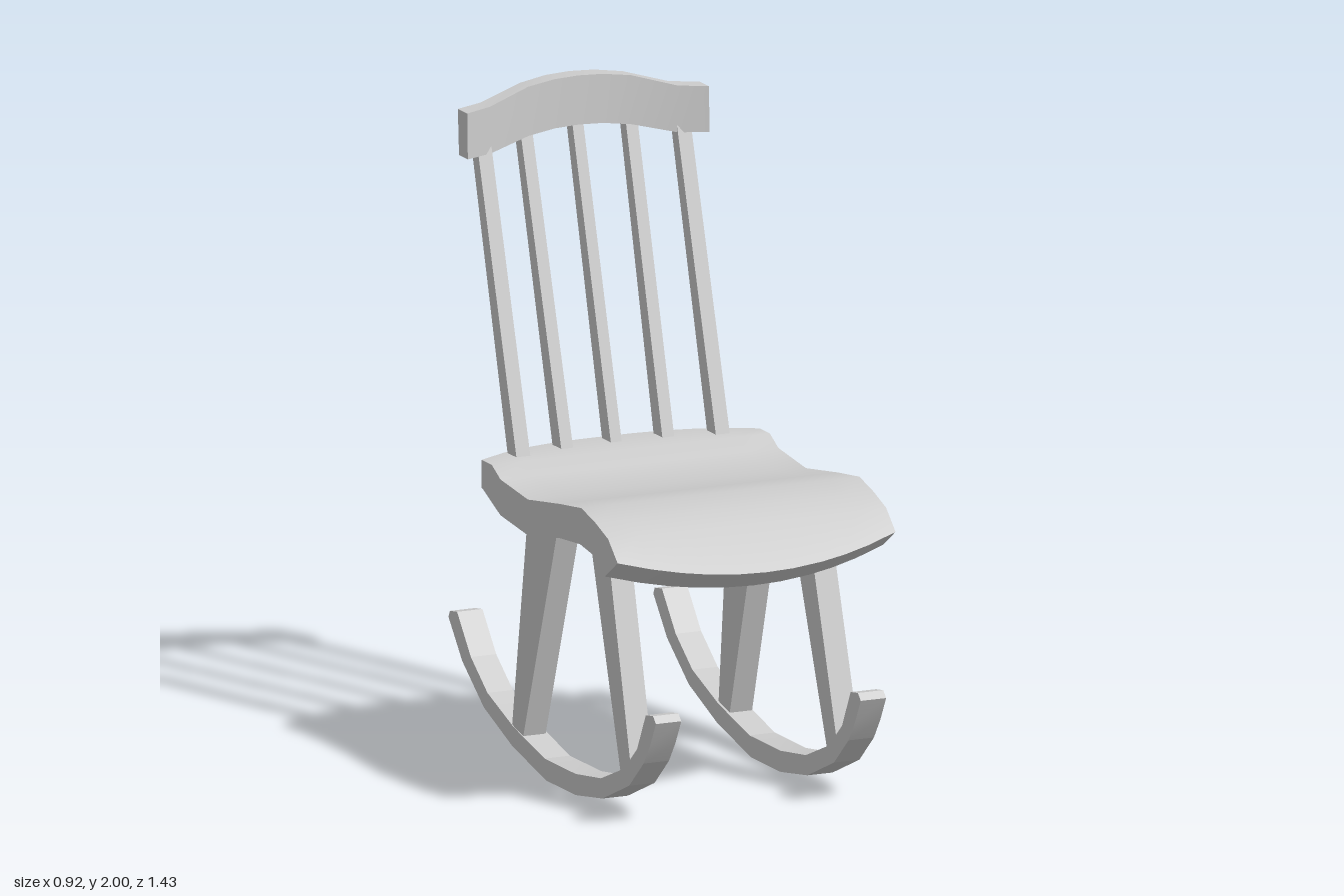
import * as THREE from 'three';
import { toCreasedNormals } from 'three/addons/utils/BufferGeometryUtils.js';

const material = new THREE.MeshStandardMaterial({ color: 0xcccccc });

// Skins rings of [x, y, z] points stacked along +x. Each ring runs along its
// top from front to back, then along its bottom from back to front.
function loft(name, rings, crease = 0.6) {
  const n = rings[0].length, last = (rings.length - 1) * n, index = [];
  for (let i = 0; i < rings.length - 1; i++) {
    for (let j = 0; j < n; j++) {
      const a = i * n + j, a1 = i * n + (j + 1) % n;
      index.push(a, a + n, a1 + n, a, a1 + n, a1);
    }
  }
  for (let k = 0; k < n / 2 - 1; k++) {
    const t0 = k, t1 = k + 1, b0 = n - 1 - k, b1 = n - 2 - k;
    index.push(last + t0, last + b0, last + b1, last + t0, last + b1, last + t1);
    index.push(t0, b1, b0, t0, t1, b1);
  }
  const geometry = new THREE.BufferGeometry();
  geometry.setAttribute('position', new THREE.Float32BufferAttribute(rings.flat(2), 3));
  geometry.setIndex(index);
  const mesh = new THREE.Mesh(toCreasedNormals(geometry, crease), material);
  mesh.name = name;
  return mesh;
}

// Four-sided tapered bar; each end is { x, w, front: [z, y], back: [z, y] }
function bar(name, top, bottom) {
  const ring = (s) => [
    [top, top.front], [top, top.back], [bottom, bottom.back], [bottom, bottom.front],
  ].map(([end, [z, y]]) => [end.x + s * end.w / 2, y, z]);
  return loft(name, [ring(-1), ring(1)], 0.2);
}

// Wavy seat with bowed front and back edges
function createSeat() {
  const top = [[0.69, 0.76], [0.555, 0.88], [0.47, 0.91], [0.37, 0.935], [0.22, 0.915],
    [0, 0.88], [-0.19, 0.9], [-0.25, 0.932], [-0.43, 0.932]];
  const bottom = [[0.6, 0.7], [0.48, 0.8], [0.43, 0.812], [0.36, 0.822], [0.22, 0.81],
    [0, 0.77], [-0.19, 0.79], [-0.315, 0.845], [-0.43, 0.845]];
  const xs = [-0.46, -0.36, -0.27, -0.19, -0.09, 0, 0.09, 0.19, 0.27, 0.36, 0.46];
  const rings = xs.map((x) => {
    const t = Math.abs(x) / 0.46, frontCut = 0.07 * t ** 2, backCut = 0.11 * t ** 2.7;
    const trim = (profile) => profile.map(([z, y], i) => {
      if (i === 0) return [x, y + frontCut * 0.86, z - frontCut];
      return [x, y, i === profile.length - 1 ? z + backCut : z];
    });
    return [...trim(top), ...trim(bottom).reverse()];
  });
  return loft('seat', rings);
}

// Curved top rail: stations of half-width x, top y, bottom y, front z, back z
function createTopRail() {
  const half = [[0.4, 1.94, 1.8, -0.545, -0.61], [0.31, 1.945, 1.802, -0.575, -0.637],
    [0.17, 1.985, 1.835, -0.605, -0.661], [0.08, 1.997, 1.847, -0.612, -0.673]];
  const stations = [...half.map(([x, ...r]) => [-x, ...r]), [0, 2, 1.85, -0.614, -0.676],
    ...half.slice().reverse()];
  return loft('topRail', stations.map(([x, yt, yb, zf, zb]) => [
    [x, yt, zf], [x, yt, zb], [x, yb, zb + 0.008], [x, yb, zf + 0.004],
  ]));
}

// Rocker runner
function createRocker(side) {
  const inner = [[0.7, 0.36], [0.65, 0.352], [0.59, 0.235], [0.5, 0.155], [0.34, 0.09],
    [0.165, 0.065], [-0.05, 0.065], [-0.265, 0.115], [-0.445, 0.18], [-0.56, 0.265],
    [-0.655, 0.383], [-0.705, 0.375]];
  const outer = [[0.72, 0.34], [0.68, 0.265], [0.635, 0.2], [0.535, 0.11], [0.35, 0.03],
    [0.165, 0], [-0.04, 0], [-0.275, 0.055], [-0.47, 0.13], [-0.62, 0.24],
    [-0.69, 0.325], [-0.715, 0.355]];
  const outline = [...inner, ...outer.reverse()];
  const ring = (x) => outline.map(([z, y]) => [x, y, z]);
  return loft('rocker', [ring(side * 0.339 - 0.042), ring(side * 0.339 + 0.042)], 0.2);
}

export function createModel() {
  const chair = new THREE.Group();
  chair.name = 'rockingChair';
  chair.add(createSeat(), createTopRail());

  // Legs and rockers on both sides
  for (const side of [-1, 1]) {
    const top = { x: side * 0.331, w: 0.074 }, bottom = { x: side * 0.342, w: 0.074 };
    chair.add(
      createRocker(side),
      bar('frontLeg', { ...top, front: [0.35, 0.84], back: [0.227, 0.84] },
        { ...bottom, front: [0.55, 0.135], back: [0.48, 0.11] }),
      bar('backLeg', { ...top, front: [0.02, 0.8], back: [-0.187, 0.82] },
        { ...bottom, front: [-0.21, 0.075], back: [-0.283, 0.09] }),
    );
  }

  // Back spindles: bottom x, top x, bottom front z, top front z, width
  const spindles = [[0, 0, -0.35, -0.618, 0.036], [0.167, 0.174, -0.34, -0.612, 0.039],
    [0.33, 0.33, -0.303, -0.583, 0.046]];
  for (const [xb, xt, zb, zt, w] of spindles) {
    for (const side of xb ? [-1, 1] : [1]) {
      const slope = (zt - zb) / 0.9;
      chair.add(bar('spindle',
        { x: side * xt, w, front: [zt, 1.86], back: [zt - 0.042, 1.86] },
        { x: side * xb, w, front: [zb - slope * 0.04, 0.89], back: [zb - 0.05, 0.89] }));
    }
  }
  return chair;
}
